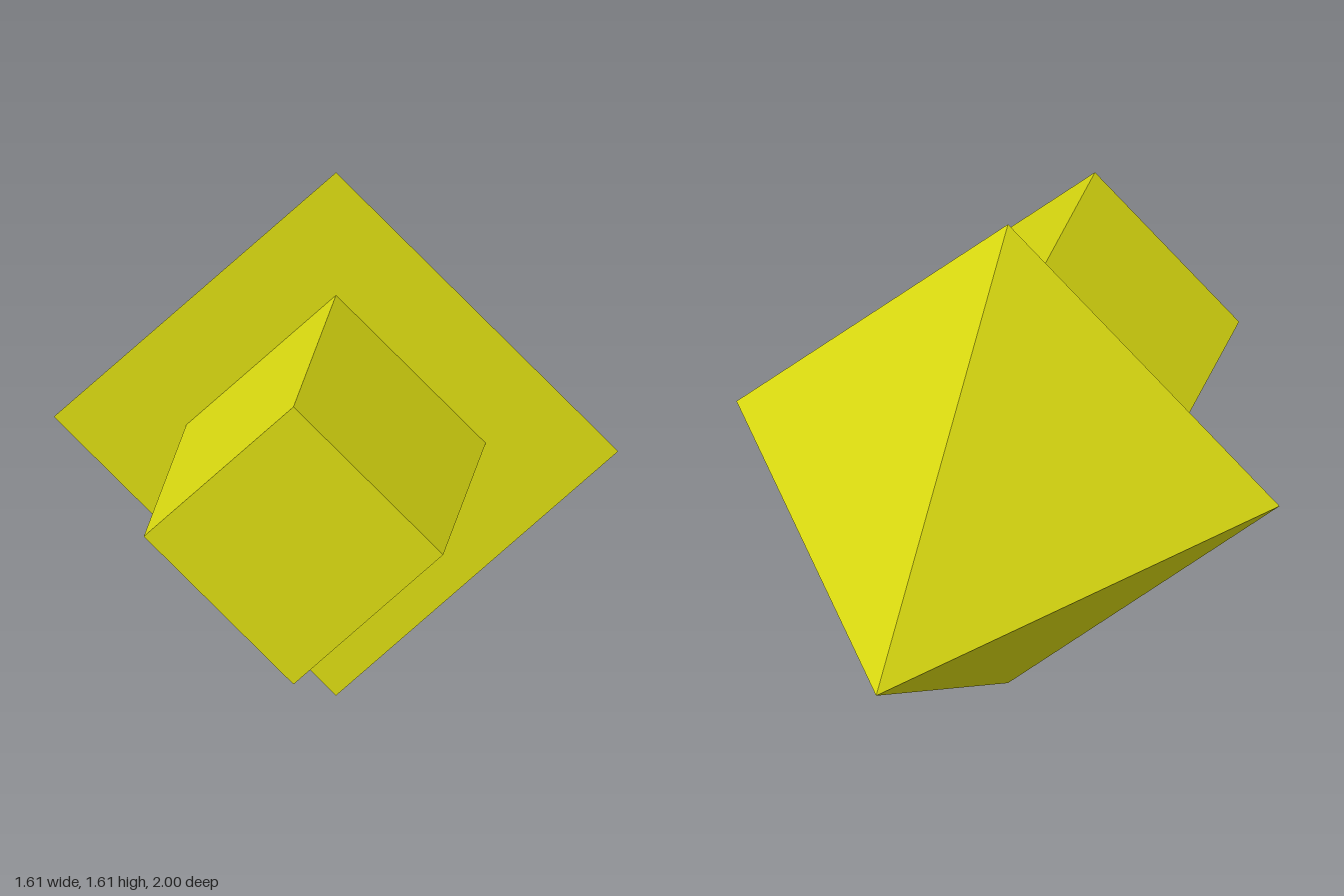
import * as THREE from 'three';

export function createModel() {
  const group = new THREE.Group();
  const yellow = new THREE.MeshStandardMaterial({ color: 0xdada10 });
  yellow.name = 'yellow';
  const centreY = 0.805;
  const joinZ = 0.205;

  // Four-sided solid lying along z, corners on the x and y axes
  function addPart(name, geometry, z) {
    const flat = geometry.rotateX(-Math.PI / 2).toNonIndexed();
    flat.computeVertexNormals();
    const mesh = new THREE.Mesh(flat, yellow);
    mesh.name = name;
    mesh.position.set(0, centreY, z);
    group.add(mesh);
  }

  // Pyramid head pointing backwards
  const headLength = 1 + joinZ;
  addPart('arrowHead', new THREE.ConeGeometry(0.805, headLength, 4), joinZ - headLength / 2);

  // Square shaft reaching the front
  const shaftLength = 1 - joinZ;
  addPart('arrowShaft', new THREE.CylinderGeometry(0.427, 0.427, shaftLength, 4), joinZ + shaftLength / 2);

  return group;
}
